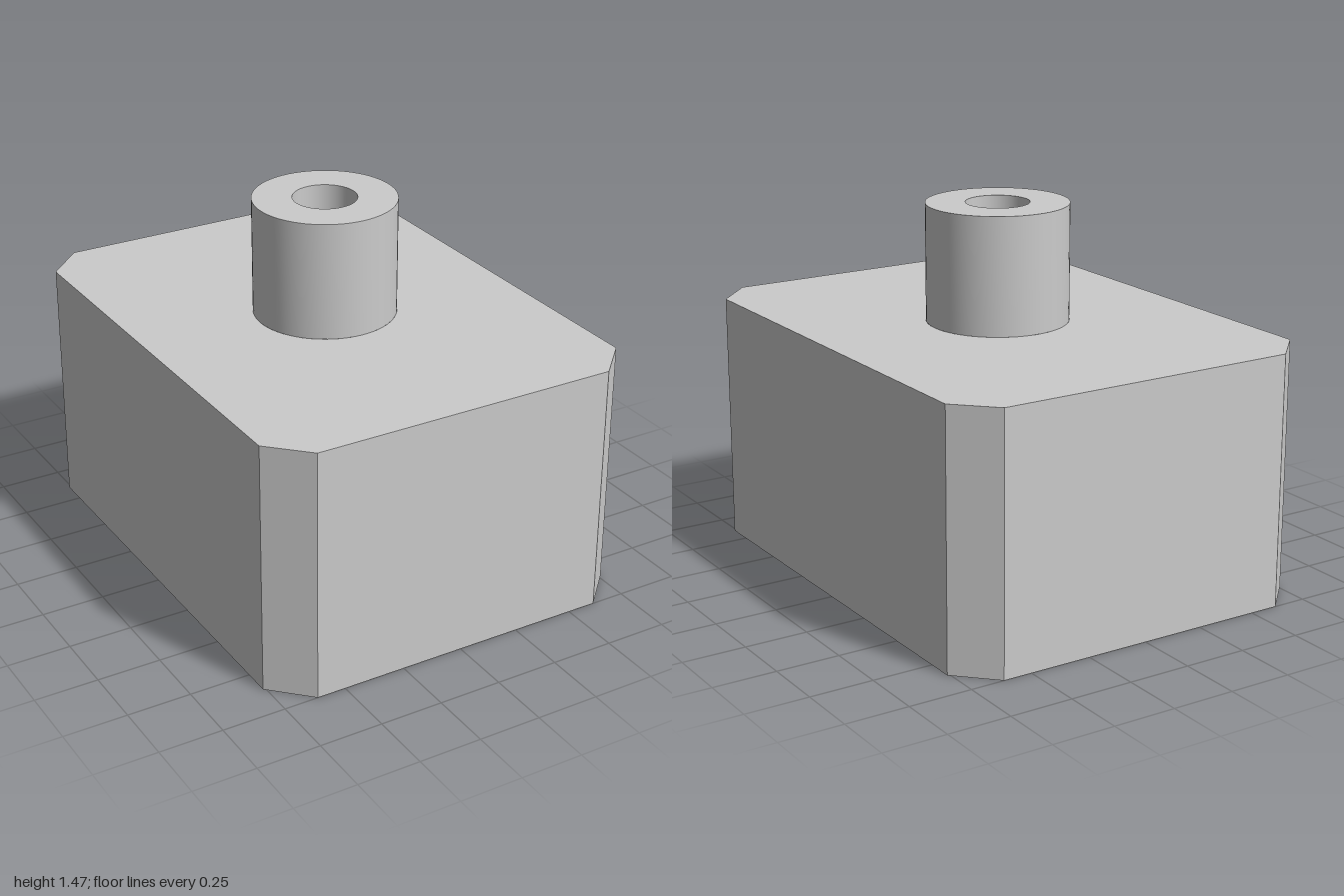
import * as THREE from 'three';
import { mergeGeometries, toCreasedNormals } from 'three/addons/utils/BufferGeometryUtils.js';

const HALF_X = 0.76, HALF_Z = 1, CHAMFER = 0.145, HEIGHT = 1;
const COLLAR_R = 0.28, BORE_R = 0.125, TOP = 1.465, SEGMENTS = 64;

// Rectangle with chamfered corners, counter-clockwise
function outline() {
  const x = HALF_X, z = HALF_Z, ix = x - CHAMFER, iz = z - CHAMFER;
  return [[x, -iz], [x, iz], [ix, z], [-ix, z], [-x, iz], [-x, -iz], [-ix, -z], [ix, -z]]
    .map(([a, b]) => new THREE.Vector2(a, b));
}

// Flat face of the block with a round opening
function face(holeRadius, facing, y) {
  const shape = new THREE.Shape(outline());
  shape.holes.push(new THREE.Path().absarc(0, 0, holeRadius, 0, Math.PI * 2, true));
  return new THREE.ShapeGeometry(shape, SEGMENTS).rotateX(-facing * Math.PI / 2).translate(0, y, 0);
}

export function createModel() {
  const group = new THREE.Group();
  const material = new THREE.MeshStandardMaterial({ color: 0xcccccc });
  const add = (name, geometry) => {
    const mesh = new THREE.Mesh(geometry, material);
    mesh.name = name;
    group.add(mesh);
  };

  // Block: eight walls plus top and bottom faces
  const points = outline();
  const walls = points.map((a, i) => {
    const b = points[(i + 1) % points.length];
    return new THREE.PlaneGeometry(a.distanceTo(b), HEIGHT)
      .rotateY(Math.atan2(b.y - a.y, a.x - b.x))
      .translate((a.x + b.x) / 2, HEIGHT / 2, (a.y + b.y) / 2);
  });
  add('block', mergeGeometries([...walls, face(COLLAR_R, 1, HEIGHT), face(BORE_R, -1, 0)]));

  // Collar on top, with the bore running down through the block
  const profile = [[COLLAR_R, HEIGHT], [COLLAR_R, TOP], [BORE_R, TOP], [BORE_R, 0]]
    .map(([r, y]) => new THREE.Vector2(r, y));
  add('collarAndBore', toCreasedNormals(new THREE.LatheGeometry(profile, SEGMENTS), Math.PI / 6));

  return group;
}
